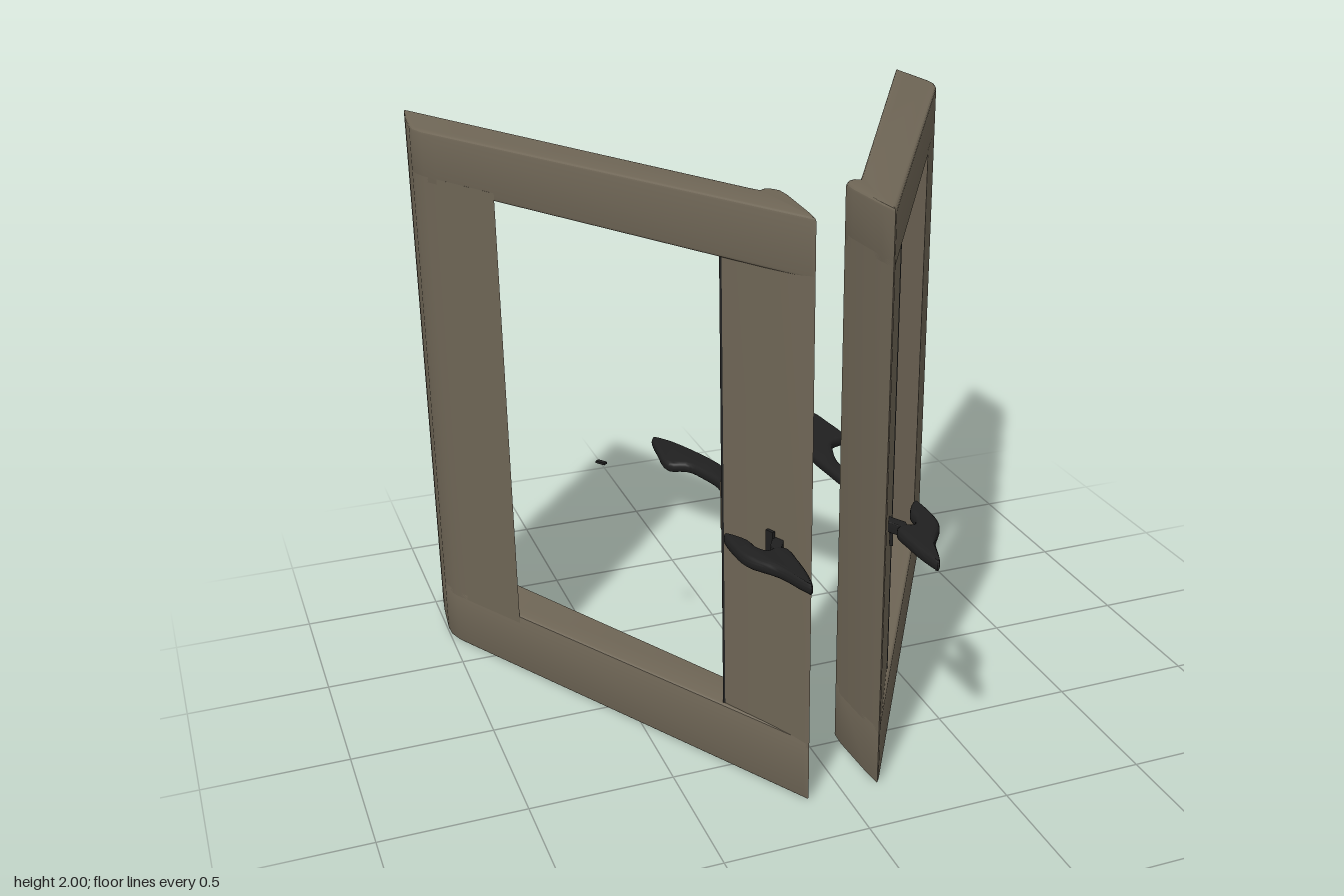
import * as THREE from 'three';
import { toCreasedNormals } from 'three/addons/utils/BufferGeometryUtils.js';

const frameMat = new THREE.MeshStandardMaterial({ color: 0x6f6656 });
frameMat.name = 'taupe frame';
const darkMat = new THREE.MeshStandardMaterial({ color: 0x202020 });
darkMat.name = 'black fittings';

// Upright slab from a plan outline of [x, z] points, from y0 to y1, with optional rounded rims
function slab(name, plan, y0, y1, side, mat, bevel = 0, crease = 0.4) {
  const shape = new THREE.Shape(plan.map(([x, z]) => new THREE.Vector2(x * side, -z)));
  const geo = new THREE.ExtrudeGeometry(shape, {
    depth: y1 - y0 - 2 * bevel,
    bevelEnabled: bevel > 0,
    bevelSize: bevel,
    bevelThickness: bevel,
    bevelOffset: -bevel,
    bevelSegments: 3,
  });
  geo.rotateX(-Math.PI / 2);
  geo.translate(0, y0 + bevel, 0);
  const mesh = new THREE.Mesh(toCreasedNormals(geo, crease), mat);
  mesh.name = name;
  return mesh;
}

// Smooth closed outline through a few [x, z] points
function smooth(points, n = 48) {
  const curve = new THREE.CatmullRomCurve3(
    points.map(([x, z]) => new THREE.Vector3(x, 0, z)), true, 'centripetal');
  return curve.getPoints(n).slice(0, -1).map((p) => [p.x, p.z]);
}

// Plan outline pieces of one open door leaf
const rearEnd = [[0.97, -1], [0.985, -0.9], [0.998, -0.76], [0.996, -0.715], [0.977, -0.66], [0.945, -0.605]];
const frontEnd = [[0.137, 0.772], [0.125, 0.787], [0.115, 0.72], [0.104, 0.53], [0.107, 0.47], [0.125, 0.443],
  [0.15, 0.432], [0.165, 0.442], [0.18, 0.42]];
const fullPlan = [...rearEnd, ...frontEnd];
const rearStile = [...rearEnd, [0.803, -0.362], [0.785, -0.667]];
const frontStile = [[0.3, 0.47], ...frontEnd, [0.226, 0.338], [0.232, 0.348]];

const outerHandle = smooth([[0.335, 0.57], [0.343, 0.68], [0.33, 0.76], [0.265, 0.86], [0.23, 0.96], [0.21, 0.995],
  [0.193, 0.93], [0.185, 0.82], [0.188, 0.74], [0.22, 0.72], [0.25, 0.73], [0.272, 0.7], [0.282, 0.64]]);
const innerHandle = smooth([[0.31, -0.24], [0.33, -0.13], [0.333, 0], [0.275, 0.03], [0.245, 0.1], [0.222, 0.2],
  [0.235, 0.3], [0.215, 0.36], [0.185, 0.35], [0.165, 0.21], [0.16, 0.1], [0.178, 0.02], [0.235, -0.13], [0.272, -0.2]]);

const LOW = 0.235, HIGH = 1.81;

// Rectangle lying on the inner face, between two z values, standing out by t
function onInnerFace(z0, z1, t) {
  const x = (z) => 0.97 - (z + 1) * 0.556;
  const nx = -0.874 * t, nz = -0.486 * t;
  return [[x(z0) + 0.01, z0 + 0.006], [x(z1) + 0.01, z1 + 0.006], [x(z1) + nx, z1 + nz], [x(z0) + nx, z0 + nz]];
}

function makeDoor(side) {
  const door = new THREE.Group();
  door.name = side > 0 ? 'leftDoor' : 'rightDoor';
  const add = (name, plan, y0, y1, mat, bevel, crease) =>
    door.add(slab(name, plan, y0, y1, side, mat, bevel, crease));

  // Frame
  add('bottomRail', fullPlan, 0.005, LOW, frameMat, 0.012);
  add('topRail', fullPlan, HIGH, 2, frameMat, 0.012);
  add('rearStile', rearStile, LOW - 0.03, HIGH + 0.03, frameMat);
  add('frontStile', frontStile, LOW - 0.03, HIGH + 0.03, frameMat);

  // Black seal on the front jamb
  add('jambSeal', [[0.3, 0.47], [0.234, 0.357], [0.24, 0.354], [0.306, 0.465]], LOW, HIGH, darkMat);

  // Hinges, and the seal strips beside them on one leaf
  for (const y of [0.28, 0.915, 1.685]) {
    add('hinge', onInnerFace(-0.925, -0.84, 0.02), y - 0.065, y + 0.065, frameMat, 0.006);
  }
  if (side > 0) {
    for (const [y0, y1] of [[0.02, 0.12], [1.27, 1.6], [1.86, 1.95]]) {
      add('hingeSeal', onInnerFace(-0.892, -0.878, 0.004), y0, y1, darkMat);
    }
  }

  // Lever handles with their mounts
  add('outerHandle', outerHandle, 0.893, 0.935, darkMat, 0.015, 0.7);
  add('innerHandle', innerHandle, 0.895, 0.933, darkMat, 0.014, 0.7);
  add('innerHandlePlate', smooth([[0.25, 0.3], [0.225, 0.272], [0.195, 0.3], [0.178, 0.36], [0.175, 0.42], [0.215, 0.38]], 24),
    0.79, 0.99, frameMat, 0.018, 0.7);
  add('outerHandleStem', [[0.18, 0.69], [0.2, 0.65], [0.235, 0.71], [0.22, 0.76]], 0.895, 0.933, darkMat, 0.004);
  const [pinLow, pinHigh] = side > 0 ? [0.83, 0.91] : [0.88, 0.955];
  add('outerHandlePin', [[0.2, 0.665], [0.212, 0.638], [0.222, 0.642], [0.21, 0.67]], pinLow, pinHigh, darkMat);

  // Small marker in the middle of the opening
  add('paneMarker', [[0.518, -0.115], [0.54, -0.145], [0.552, -0.135], [0.53, -0.105]], 0.91, 0.918, darkMat);
  return door;
}

export function createModel() {
  const model = new THREE.Group();
  model.name = 'openDoors';
  for (const side of [1, -1]) model.add(makeDoor(side));
  return model;
}
